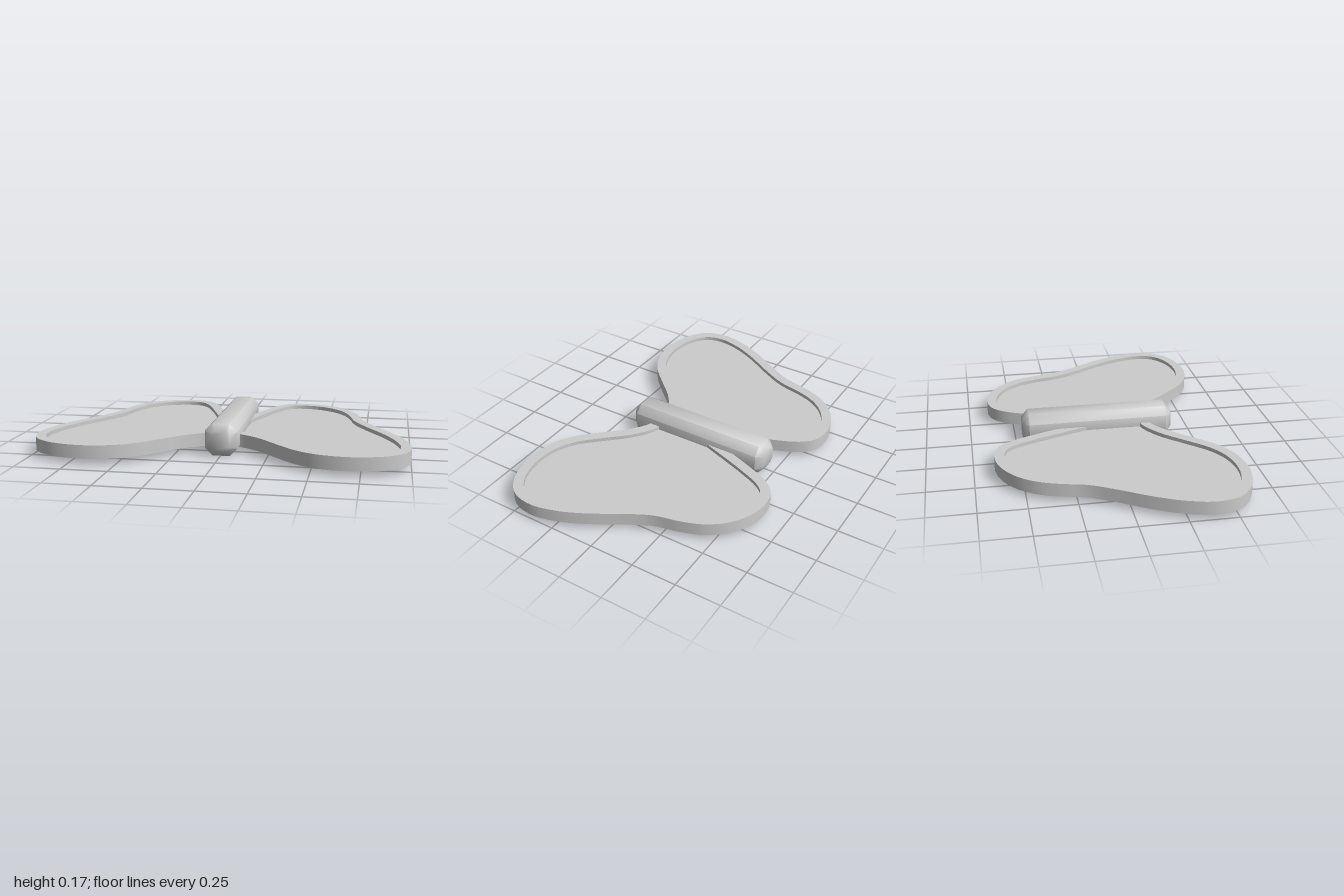
import * as THREE from 'three';
import { toCreasedNormals } from 'three/addons/utils/BufferGeometryUtils.js';

const grey = new THREE.MeshStandardMaterial({ color: 0xcccccc });
grey.name = 'light grey';

const RIM_WIDTH = 0.055;

// Left wing outline as [x, z], from the back of the body round the tip to the front
const OUTLINE = [
  [0.03, -0.12], [0.095, -0.3], [0.14, -0.42], [0.2, -0.55], [0.26, -0.615], [0.35, -0.64],
  [0.47, -0.62], [0.58, -0.555], [0.66, -0.455], [0.705, -0.34], [0.74, -0.2], [0.81, -0.065],
  [0.905, 0.095], [0.97, 0.24], [1, 0.385], [0.97, 0.51], [0.87, 0.595], [0.7, 0.637],
  [0.54, 0.615], [0.42, 0.55], [0.3, 0.43], [0.2, 0.325], [0.095, 0.255], [0.02, 0.24],
];

// Horizontal plate between two heights, from points in (x, -z)
function plate(name, points, bottom, top) {
  const geometry = new THREE.ExtrudeGeometry(new THREE.Shape(points), {
    depth: top - bottom, bevelEnabled: false,
  });
  geometry.rotateX(-Math.PI / 2);
  geometry.translate(0, bottom, 0);
  const mesh = new THREE.Mesh(toCreasedNormals(geometry, 0.7), grey);
  mesh.name = name;
  return mesh;
}

// Raised rim with a recessed panel inside it; side is +1 or -1
function createWing(side) {
  const curve = new THREE.CatmullRomCurve3(
    OUTLINE.map(([x, z]) => new THREE.Vector3(x, -z, 0)), false, 'centripetal');
  const outer = [], inner = [];
  const steps = 90;
  for (let i = 0; i <= steps; i++) {
    const p = curve.getPointAt(i / steps);
    const t = curve.getTangentAt(i / steps);
    outer.push(new THREE.Vector2(side * p.x, p.y));
    inner.push(new THREE.Vector2(side * (p.x + t.y * RIM_WIDTH), p.y - t.x * RIM_WIDTH));
  }
  const wing = new THREE.Group();
  wing.name = side > 0 ? 'leftWing' : 'rightWing';
  wing.add(
    plate('wingRim', [...outer, ...inner.slice().reverse()], 0.028, 0.1),
    plate('wingPanel', inner, 0.05, 0.079),
  );
  return wing;
}

// Octagonal body with chamfered ends
function createBody() {
  const bevel = 0.035;
  const w = 0.088 - bevel, h = 0.0875 - bevel, c = 0.021;
  const section = new THREE.Shape([
    [w, -h + c], [w, h - c], [w - c, h], [-w + c, h],
    [-w, h - c], [-w, -h + c], [-w + c, -h], [w - c, -h],
  ].map(([x, y]) => new THREE.Vector2(x, y)));
  const geometry = new THREE.ExtrudeGeometry(section, {
    depth: 0.845 - 2 * bevel, bevelSize: bevel, bevelThickness: bevel, bevelSegments: 1,
  });
  geometry.translate(0.003, 0.0875, -0.463 + bevel);
  const body = new THREE.Mesh(toCreasedNormals(geometry, 0.9), grey);
  body.name = 'body';
  return body;
}

export function createModel() {
  const model = new THREE.Group();
  model.name = 'butterfly';
  model.add(createWing(1), createWing(-1), createBody());
  return model;
}
